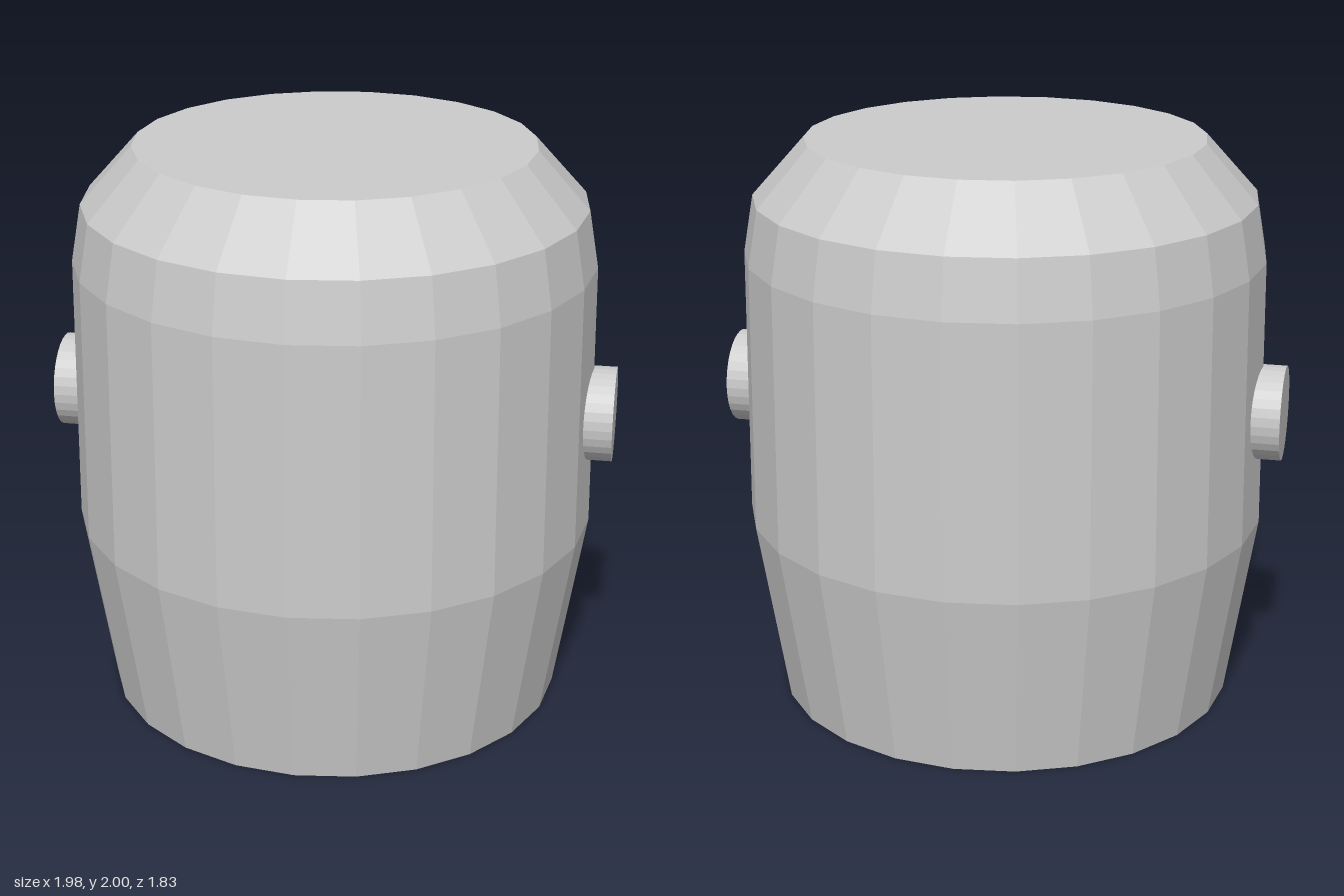
import * as THREE from 'three';

const SIDES = 24;

export function createModel() {
  const model = new THREE.Group();
  const grey = new THREE.MeshStandardMaterial({ color: 0xcccccc, flatShading: true });

  const add = (name, geometry) => {
    const mesh = new THREE.Mesh(geometry, grey);
    mesh.name = name;
    model.add(mesh);
    return mesh;
  };

  // Barrel body: recessed floor, bottom rim, bulging wall, chamfered shoulder, flat top
  const profile = [
    [0, 0.07], [0.74, 0.07], [0.74, 0], [0.81, 0], [0.915, 0.66],
    [0.905, 1.6], [0.87, 1.8], [0.69, 2], [0, 2],
  ].map(([r, y]) => new THREE.Vector2(r, y));
  add('barrelBody', new THREE.LatheGeometry(profile, SIDES));

  // Round pegs, one on each side
  for (const [name, side] of [['leftPeg', 1], ['rightPeg', -1]]) {
    const peg = add(name, new THREE.CylinderGeometry(0.165, 0.165, 0.135, 32));
    peg.rotation.z = -side * Math.PI / 2;
    peg.position.set(side * 0.92, 1.07, 0);
  }

  return model;
}
